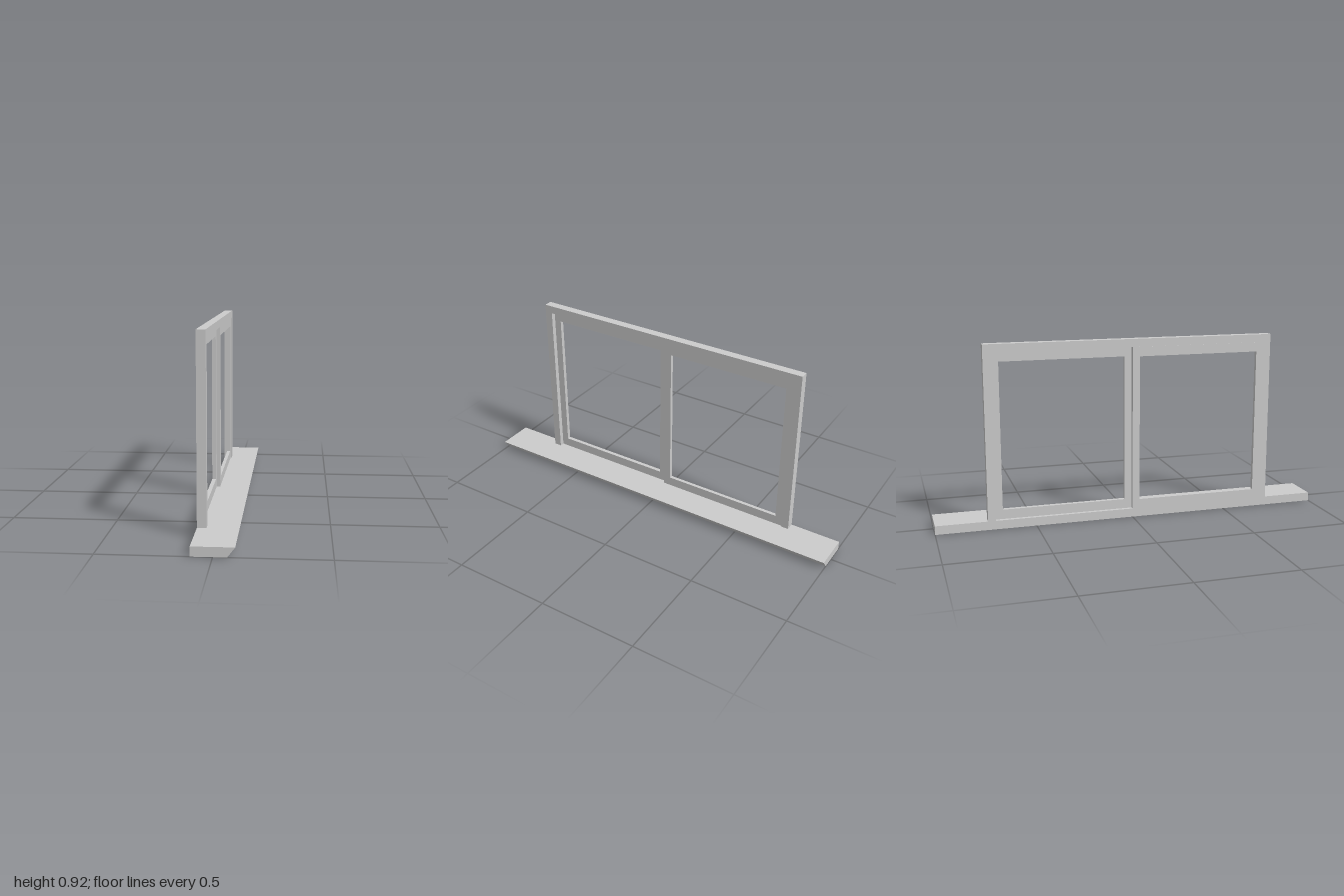
import * as THREE from 'three';

const material = new THREE.MeshStandardMaterial({ color: 0xcccccc, flatShading: true });

// Extrudes an outline drawn in (z, y) so that it fills x from x0 to x1.
function slab(name, shape, x0, x1) {
  const geometry = new THREE.ExtrudeGeometry(shape, { depth: x1 - x0, bevelEnabled: false });
  geometry.rotateY(-Math.PI / 2); // drawn x becomes z, depth runs towards -x
  geometry.translate(x1, 0, 0);
  const mesh = new THREE.Mesh(geometry, material);
  mesh.name = name;
  return mesh;
}

function polygon(points, Type = THREE.Shape) {
  return new Type(points.map(([a, b]) => new THREE.Vector2(a, b)));
}

const rect = (z0, y0, z1, y1) => [[z0, y0], [z1, y0], [z1, y1], [z0, y1]];

// One sliding sash: a rectangular ring
function sash(name, z0, z1, x0, x1) {
  const shape = polygon(rect(z0, 0.044, z1, 0.88));
  shape.holes.push(polygon(rect(z0 + 0.037, 0.092, z1 - 0.037, 0.832), THREE.Path));
  return slab(name, shape, x0, x1);
}

export function createModel() {
  const model = new THREE.Group();
  model.name = 'slidingWindow';

  // Sill with a slanted front edge, running along z
  const profile = polygon([[-0.095, 0], [0.06, 0], [0.094, 0.044], [-0.095, 0.044]]);
  const sillGeometry = new THREE.ExtrudeGeometry(profile, { depth: 2, bevelEnabled: false });
  sillGeometry.translate(0, 0, -1);
  const sill = new THREE.Mesh(sillGeometry, material);
  sill.name = 'sill';
  model.add(sill);

  // Outer frame: two posts and a head, open at the sill
  model.add(slab('outerFrame', polygon([
    [-0.742, 0.044], [-0.702, 0.044], [-0.702, 0.88], [0.702, 0.88],
    [0.702, 0.044], [0.742, 0.044], [0.742, 0.92], [-0.742, 0.92],
  ]), -0.095, -0.052));

  // Two sashes on neighbouring tracks, meeting at the middle
  model.add(sash('frontSash', -0.702, 0, -0.076, -0.058));
  model.add(sash('rearSash', 0, 0.702, -0.096, -0.076));

  return model;
}
